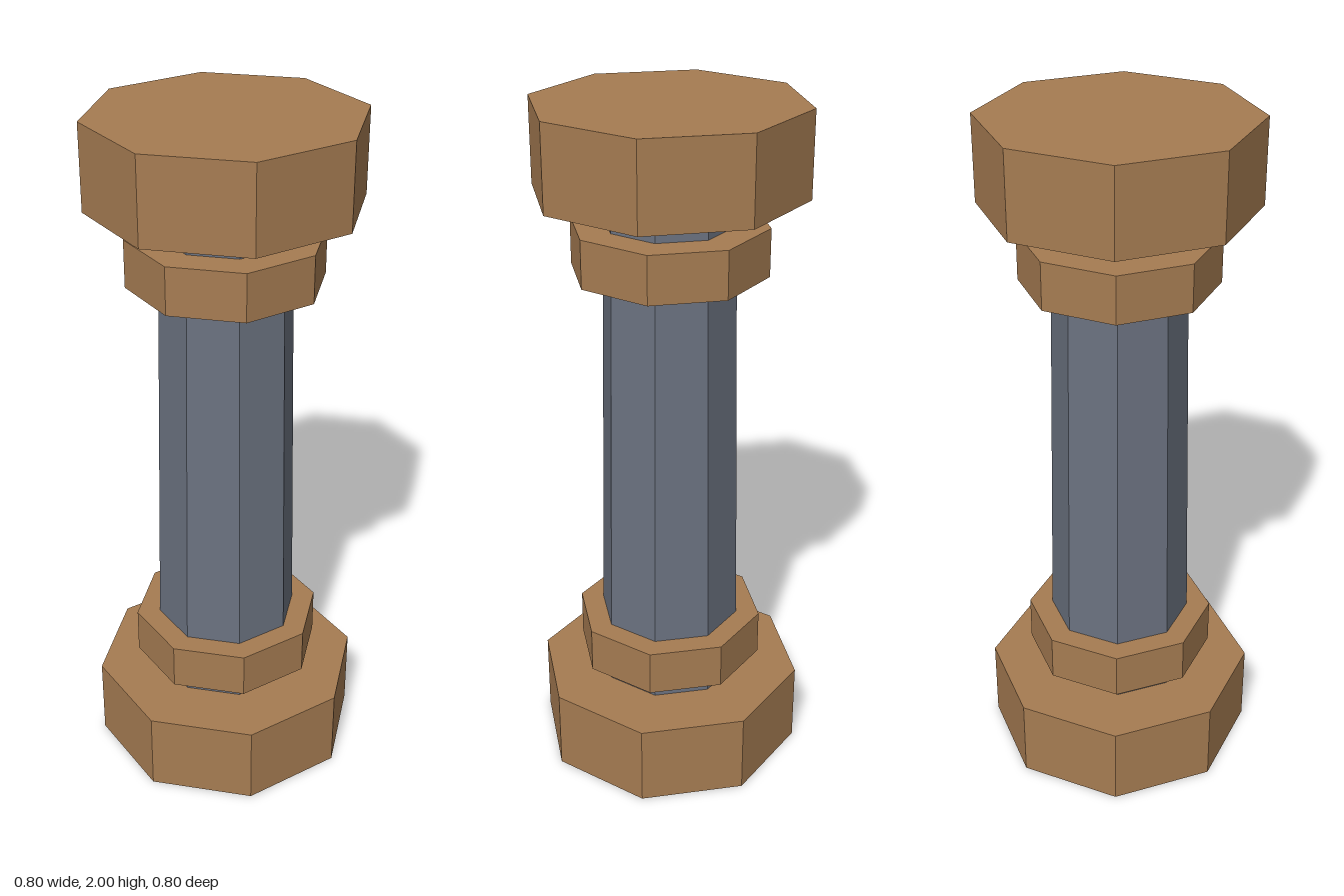
import * as THREE from 'three';

export function createModel() {
  const model = new THREE.Group();
  model.name = 'column';
  const bronze = new THREE.MeshStandardMaterial({ color: 0xa67c52, flatShading: true });
  const stone = new THREE.MeshStandardMaterial({ color: 0x6b7280, flatShading: true });

  // Octagonal section between two heights, with a corner facing the front
  function addSection(name, material, bottomY, topY, bottomRadius, topRadius = bottomRadius) {
    const geometry = new THREE.CylinderGeometry(topRadius, bottomRadius, topY - bottomY, 8);
    const mesh = new THREE.Mesh(geometry, material);
    mesh.name = name;
    mesh.position.y = (bottomY + topY) / 2;
    model.add(mesh);
  }

  // Tapered shaft, its ends set just inside the base and the capital
  addSection('shaft', stone, 0.24, 1.77, 0.214, 0.184);

  // Base and capital
  addSection('base', bronze, 0, 0.245, 0.4);
  addSection('capital', bronze, 1.757, 2, 0.385);

  // Collars around the shaft
  addSection('lowerCollar', bronze, 0.303, 0.44, 0.28);
  addSection('upperCollar', bronze, 1.535, 1.673, 0.28);

  return model;
}
